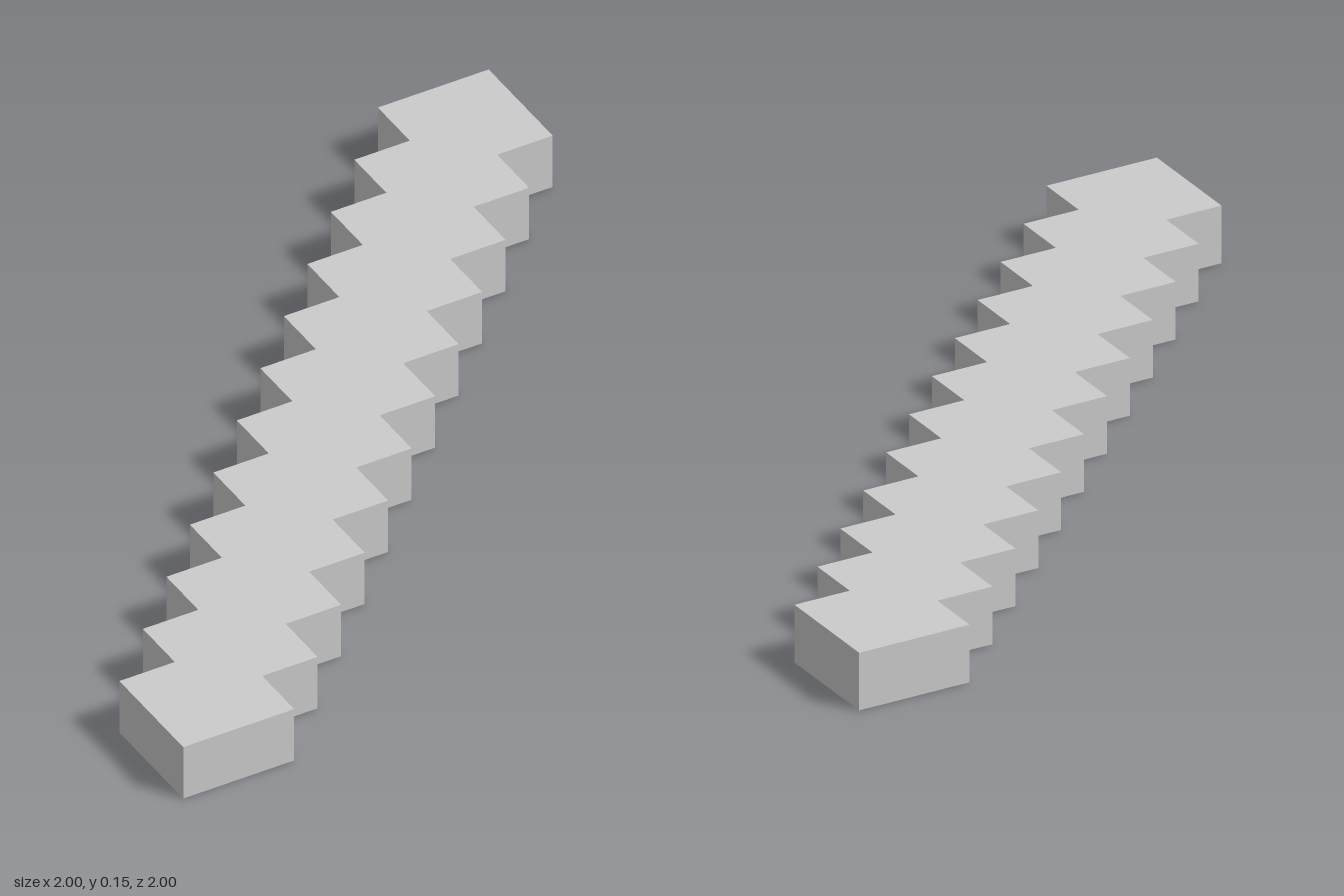
import * as THREE from 'three';

const STEPS = 12;            // overlapping two-by-two squares along the diagonal
const U = 2 / (STEPS + 1);   // one step, also the thickness

export function createModel() {
  const group = new THREE.Group();
  group.name = 'steppedDiagonalBar';

  // Staircase along one side, ending at the far corner
  const side = [];
  for (let i = 0; i < STEPS; i++) {
    const x = -1 + (i + 2) * U;
    side.push(new THREE.Vector2(x, -1 + i * U));
    if (i < STEPS - 1) side.push(new THREE.Vector2(x, -1 + (i + 1) * U));
  }
  side.push(new THREE.Vector2(1, 1));

  // The other side is the same staircase turned half round
  const outline = [...side, ...side.map((p) => p.clone().negate())];

  // Flat slab lying on the ground
  const geometry = new THREE.ExtrudeGeometry(new THREE.Shape(outline), {
    depth: U,
    bevelEnabled: false,
  });
  geometry.rotateX(-Math.PI / 2);

  const bar = new THREE.Mesh(
    geometry,
    new THREE.MeshStandardMaterial({ color: 0xcccccc, flatShading: true })
  );
  bar.name = 'bar';
  group.add(bar);
  return group;
}
